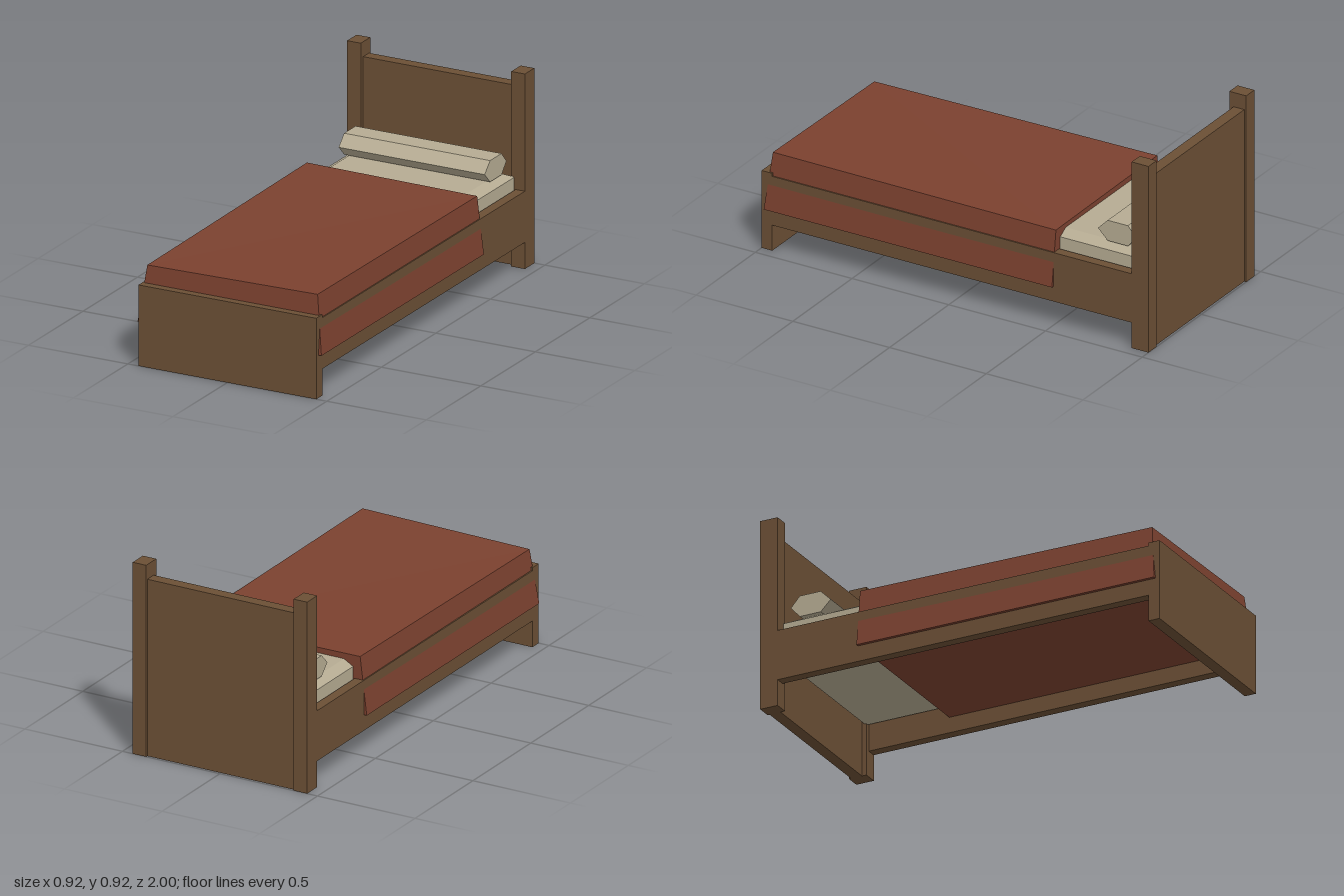
import * as THREE from 'three';
import { ConvexGeometry } from 'three/addons/geometries/ConvexGeometry.js';

function material(name, color) {
  const m = new THREE.MeshStandardMaterial({ color });
  m.name = name;
  return m;
}

export function createModel() {
  const bed = new THREE.Group();
  bed.name = 'bed';
  const wood = material('brown wood', 0x6b4f35);
  const red = material('red blanket', 0x7b412f);
  const cream = material('cream linen', 0xb5ab92);

  function add(name, geometry, mat) {
    const mesh = new THREE.Mesh(geometry, mat);
    mesh.name = name;
    bed.add(mesh);
    return mesh;
  }
  // Box given by its extents on each axis
  function box(name, [x0, x1], [y0, y1], [z0, z1], mat) {
    const g = new THREE.BoxGeometry(x1 - x0, y1 - y0, z1 - z0);
    g.translate((x0 + x1) / 2, (y0 + y1) / 2, (z0 + z1) / 2);
    return add(name, g, mat);
  }

  // Headboard, footboard, and mirrored posts and rails
  box('headboardPanel', [-0.38, 0.38], [0, 0.845], [-0.99, -0.935], wood);
  box('footboard', [-0.447, 0.447], [0, 0.38], [0.945, 1], wood);
  for (const [side, s] of [['left', 1], ['right', -1]]) {
    const span = (a, b) => (s > 0 ? [a, b] : [-b, -a]);
    box(side + 'Post', span(0.378, 0.447), [0, 0.915], [-1, -0.913], wood);
    box(side + 'Rail', span(0.4, 0.447), [0.125, 0.365], [-0.913, 0.945], wood);
  }

  // Mattress with bevelled top edges
  const corners = [];
  for (const [y, x, z0, z1] of [
    [0.25, 0.392, -0.922, 0.93],
    [0.42, 0.392, -0.922, 0.93],
    [0.447, 0.345, -0.865, 0.88],
  ]) {
    for (const sx of [-x, x]) for (const z of [z0, z1]) corners.push(new THREE.Vector3(sx, y, z));
  }
  add('mattress', new ConvexGeometry(corners), cream);

  // Blanket: box flared towards the hem, with a slightly uneven top
  const blanket = new THREE.BoxGeometry(2, 2, 2).toNonIndexed();
  const p = blanket.attributes.position;
  for (let i = 0; i < p.count; i++) {
    const sx = p.getX(i), top = p.getY(i) > 0, front = p.getZ(i) > 0;
    const topY = sx < 0 ? (front ? 0.462 : 0.475) : (front ? 0.474 : 0.468);
    p.setXYZ(i, sx * (top ? 0.428 : 0.462), top ? topY : 0.2, front ? (top ? 0.953 : 0.98) : -0.51);
  }
  blanket.computeVertexNormals();
  add('blanket', blanket, red);

  // Pillow: six-sided bolster lying across the bed
  const outline = [[0.69, 0.5], [0.74, 0.55], [0.845, 0.55], [0.89, 0.5], [0.845, 0.45], [0.74, 0.45]];
  const pillow = new THREE.ExtrudeGeometry(
    new THREE.Shape(outline.map(([a, y]) => new THREE.Vector2(a, y))),
    { depth: 0.734, bevelEnabled: false });
  pillow.translate(0, 0, -0.367);
  pillow.rotateY(Math.PI / 2); // outline x becomes -z, depth becomes x
  add('pillow', pillow, cream);

  return bed;
}
